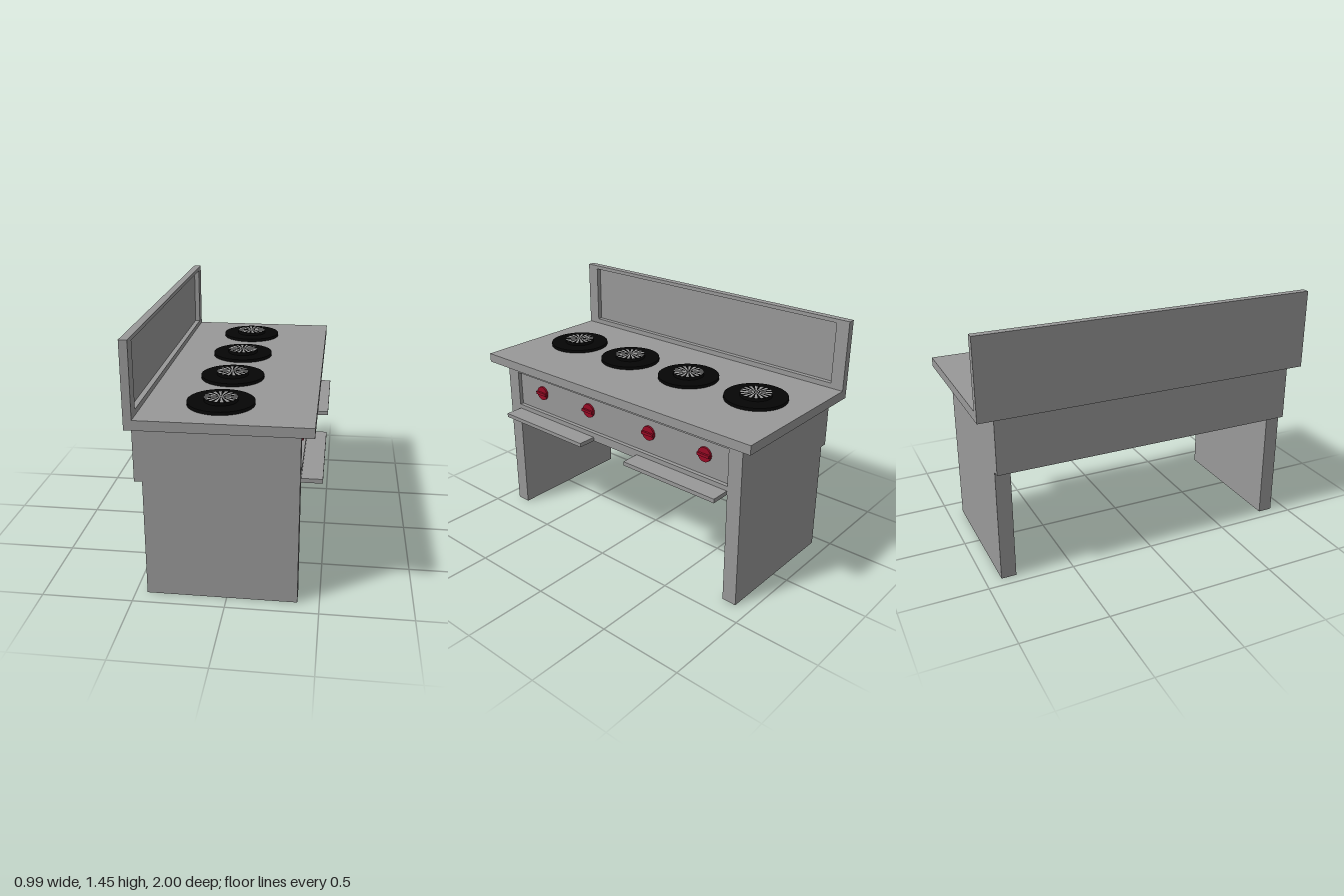
import * as THREE from 'three';

const grey = new THREE.MeshStandardMaterial({ color: 0x999999 });
const black = new THREE.MeshStandardMaterial({ color: 0x050505 });
const red = new THREE.MeshStandardMaterial({ color: 0x980a24 });

// Box given by its limits on each axis
function box(name, x0, x1, y0, y1, z0, z1, material = grey) {
  const mesh = new THREE.Mesh(new THREE.BoxGeometry(x1 - x0, y1 - y0, z1 - z0), material);
  mesh.name = name;
  mesh.position.set((x0 + x1) / 2, (y0 + y1) / 2, (z0 + z1) / 2);
  return mesh;
}

function disc(name, r, y0, y1) {
  const mesh = new THREE.Mesh(new THREE.CylinderGeometry(r, r, y1 - y0, 48), black);
  mesh.name = name;
  mesh.position.y = (y0 + y1) / 2;
  return mesh;
}

// Side panel: a leg that steps out at the back where it meets the body
function sidePanel(z) {
  const outline = [[-0.437, 0], [0.382, 0], [0.382, 0.988], [-0.48, 0.988], [-0.48, 0.668], [-0.437, 0.668]];
  const shape = new THREE.Shape(outline.map(([x, y]) => new THREE.Vector2(x, y)));
  const mesh = new THREE.Mesh(new THREE.ExtrudeGeometry(shape, { depth: 0.087, bevelEnabled: false }), grey);
  mesh.name = 'sidePanel';
  mesh.position.z = z;
  return mesh;
}

// Upright back guard with a framed recess on its front
function backGuard() {
  const group = new THREE.Group();
  group.name = 'backGuard';
  const rect = (C, w, y0, y1) => new C([[-w, y0], [w, y0], [w, y1], [-w, y1]].map(([x, y]) => new THREE.Vector2(x, y)));
  const shape = rect(THREE.Shape, 1, 1.042, 1.45);
  shape.holes.push(rect(THREE.Path, 0.922, 1.072, 1.428));
  const frame = new THREE.Mesh(new THREE.ExtrudeGeometry(shape, { depth: 0.03, bevelEnabled: false }), grey);
  frame.name = 'guardFrame';
  frame.rotation.y = Math.PI / 2;
  frame.position.x = -0.481;
  group.add(frame, box('guardBack', -0.495, -0.481, 1.042, 1.45, -1, 1));
  return group;
}

// Round burner with a raised centre of alternating dark and pale blades
function burner(z) {
  const group = new THREE.Group();
  group.name = 'burner';
  group.add(disc('burnerPlate', 0.18, 1.042, 1.06), disc('burnerCentre', 0.09, 1.06, 1.079));
  const step = (Math.PI * 2) / 16;
  for (let i = 0; i < 16; i++) {
    const blade = new THREE.Mesh(new THREE.CircleGeometry(0.09, 3, (i + 0.25) * step, step * 0.5), grey);
    blade.name = 'paleBlade';
    blade.rotation.x = -Math.PI / 2;
    blade.position.y = 1.08;
    group.add(blade);
  }
  group.position.set(-0.05, 0, z);
  return group;
}

// Control knob: a round base with a grip bar across it
function knob(z) {
  const group = new THREE.Group();
  group.name = 'knob';
  const base = new THREE.Mesh(new THREE.CylinderGeometry(0.043, 0.043, 0.012, 32), red);
  base.name = 'knobBase';
  base.rotation.z = Math.PI / 2;
  base.position.x = 0.006;
  group.add(base, box('knobGrip', 0.01, 0.024, -0.008, 0.008, -0.041, 0.041, red));
  group.position.set(0.358, 0.845, z);
  return group;
}

export function createModel() {
  const model = new THREE.Group();
  model.name = 'stove';

  // Body between the side panels, with rails around the recessed control panel
  model.add(
    sidePanel(0.822),
    sidePanel(-0.909),
    box('body', -0.48, 0.358, 0.668, 0.988, -0.822, 0.822),
    box('upperRail', 0.358, 0.382, 0.938, 0.988, -0.822, 0.822),
    box('lowerRail', 0.358, 0.382, 0.668, 0.72, -0.822, 0.822)
  );

  // Front shelves
  model.add(
    box('shelf', 0.382, 0.494, 0.668, 0.692, 0.16, 0.82),
    box('shelf', 0.382, 0.494, 0.668, 0.692, -0.82, -0.185)
  );

  // Worktop and back guard
  model.add(box('worktop', -0.495, 0.452, 0.988, 1.042, -1, 1), backGuard());

  for (const z of [0.702, 0.253, -0.21, -0.686]) model.add(burner(z));
  for (const z of [0.618, 0.213, -0.26, -0.655]) model.add(knob(z));
  return model;
}
